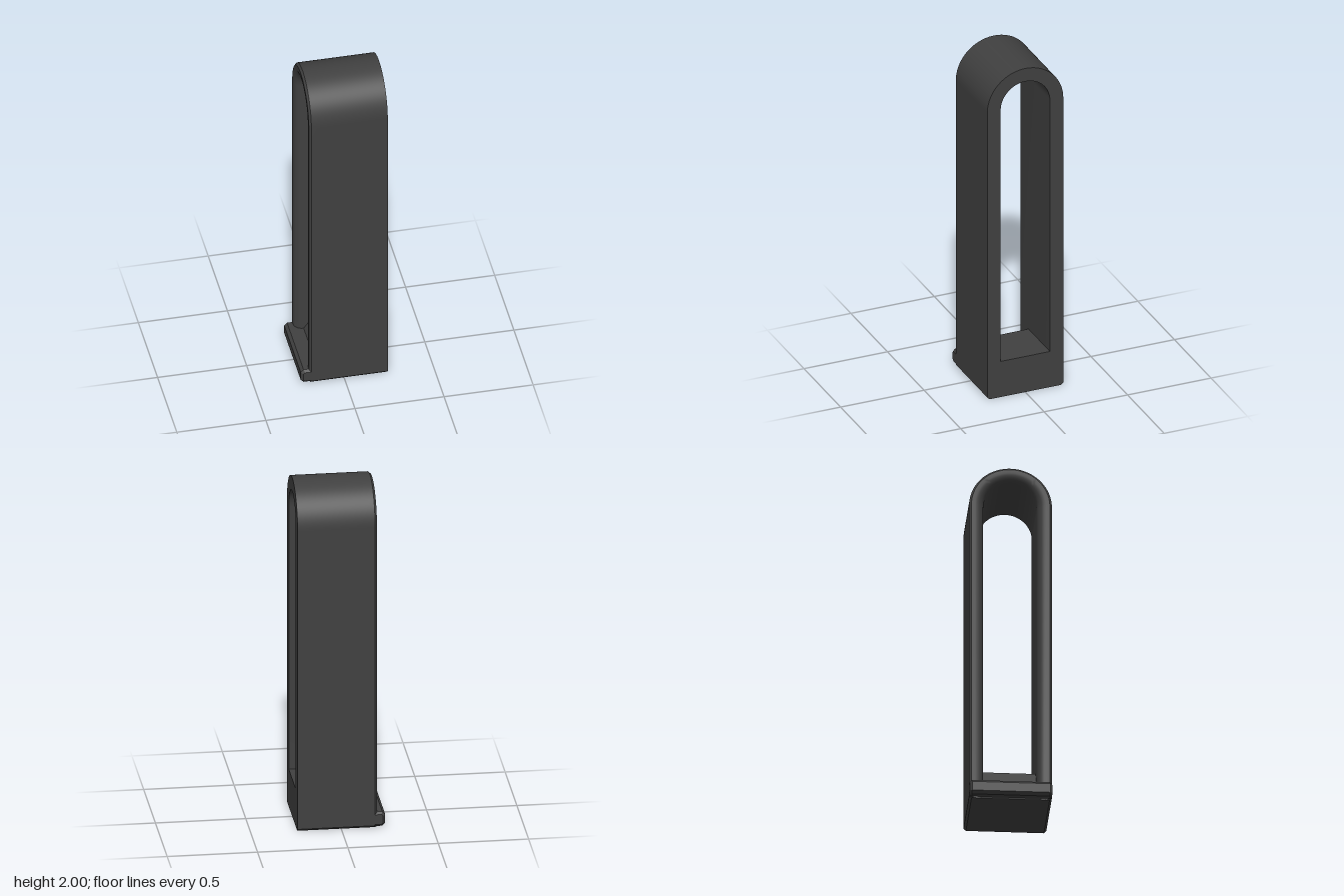
import * as THREE from 'three';
import { toCreasedNormals } from 'three/addons/utils/BufferGeometryUtils.js';

const HALF = 0.2275;     // half width of the arch
const SPRING = 1.7725;   // height where the arch begins
const RIGHT = 0.243;     // open end
const BEVEL = 0.013;

const material = new THREE.MeshStandardMaterial({ color: 0x404040 });

// Closed wall section: x position and inset from the outer surface
function wallSection() {
  const pts = [[RIGHT, 0], [-0.186, 0], [-0.198, 0.012]];
  for (let i = 0; i <= 6; i++) {
    const t = (i / 6) * Math.PI / 2;
    pts.push([-0.15 - 0.048 * Math.cos(t), 0.032 + 0.048 * Math.sin(t)]);
  }
  pts.push([RIGHT, 0.08], [RIGHT, 0]);
  return pts;
}

// Stations along the arch, each turning an inset into a (y, z) point
function archStations() {
  const leg = (side, y, trim) => (inset) => [y, side * (HALF - inset - trim)];
  const stations = [leg(1, 0, BEVEL), leg(1, BEVEL, 0)];
  const steps = 48;
  for (let i = 0; i <= steps; i++) {
    const a = (i / steps) * Math.PI;
    stations.push((inset) => [SPRING + (HALF - inset) * Math.sin(a), (HALF - inset) * Math.cos(a)]);
  }
  stations.push(leg(-1, BEVEL, 0), leg(-1, 0, BEVEL));
  return stations;
}

// Sweep the wall section over the arch
function archGeometry() {
  const section = wallSection();
  const stations = archStations();
  const n = section.length;
  const positions = [];
  const index = [];
  stations.forEach((at, k) => {
    section.forEach(([x, inset], j) => {
      const [y, z] = at(inset);
      positions.push(x, y, z);
      if (k < stations.length - 1 && j < n - 1) {
        const a = k * n + j;
        const b = a + n;
        index.push(a, b, a + 1, b, b + 1, a + 1);
      }
    });
  });
  const geometry = new THREE.BufferGeometry();
  geometry.setAttribute('position', new THREE.Float32BufferAttribute(positions, 3));
  geometry.setIndex(index);
  return toCreasedNormals(geometry, 0.5);
}

// Extrude an x-y outline along z, centred on z = 0
function extrudeOutline(points, width, bevel = 0) {
  const shape = new THREE.Shape(points.map(([x, y]) => new THREE.Vector2(x, y)));
  const geometry = new THREE.ExtrudeGeometry(shape, {
    depth: width - 2 * bevel,
    bevelEnabled: bevel > 0,
    bevelThickness: bevel,
    bevelSize: bevel,
    bevelOffset: -bevel,
    bevelSegments: 1,
  });
  geometry.translate(0, 0, -width / 2 + bevel);
  return geometry;
}

export function createModel() {
  const group = new THREE.Group();
  const add = (name, geometry) => {
    const mesh = new THREE.Mesh(geometry, material);
    mesh.name = name;
    group.add(mesh);
  };

  // Tall arched sleeve with a flared left opening
  add('archedSleeve', archGeometry());

  // Floor block with a ramp down to the lip
  add('rampedBase', extrudeOutline([
    [-0.19, 0], [RIGHT, 0], [RIGHT, 0.22], [-0.05, 0.22], [-0.15, 0.088], [-0.19, 0.088],
  ], 2 * (HALF - BEVEL)));

  // Chamfered lip below the left opening
  const x0 = -0.243, x1 = -0.14, y0 = 0.006, y1 = 0.09, c = 0.016;
  add('lip', extrudeOutline([
    [x0 + c, y0], [x1, y0], [x1, y1], [x0 + c, y1], [x0, y1 - c], [x0, y0 + c],
  ], 2 * HALF, BEVEL));

  return group;
}
